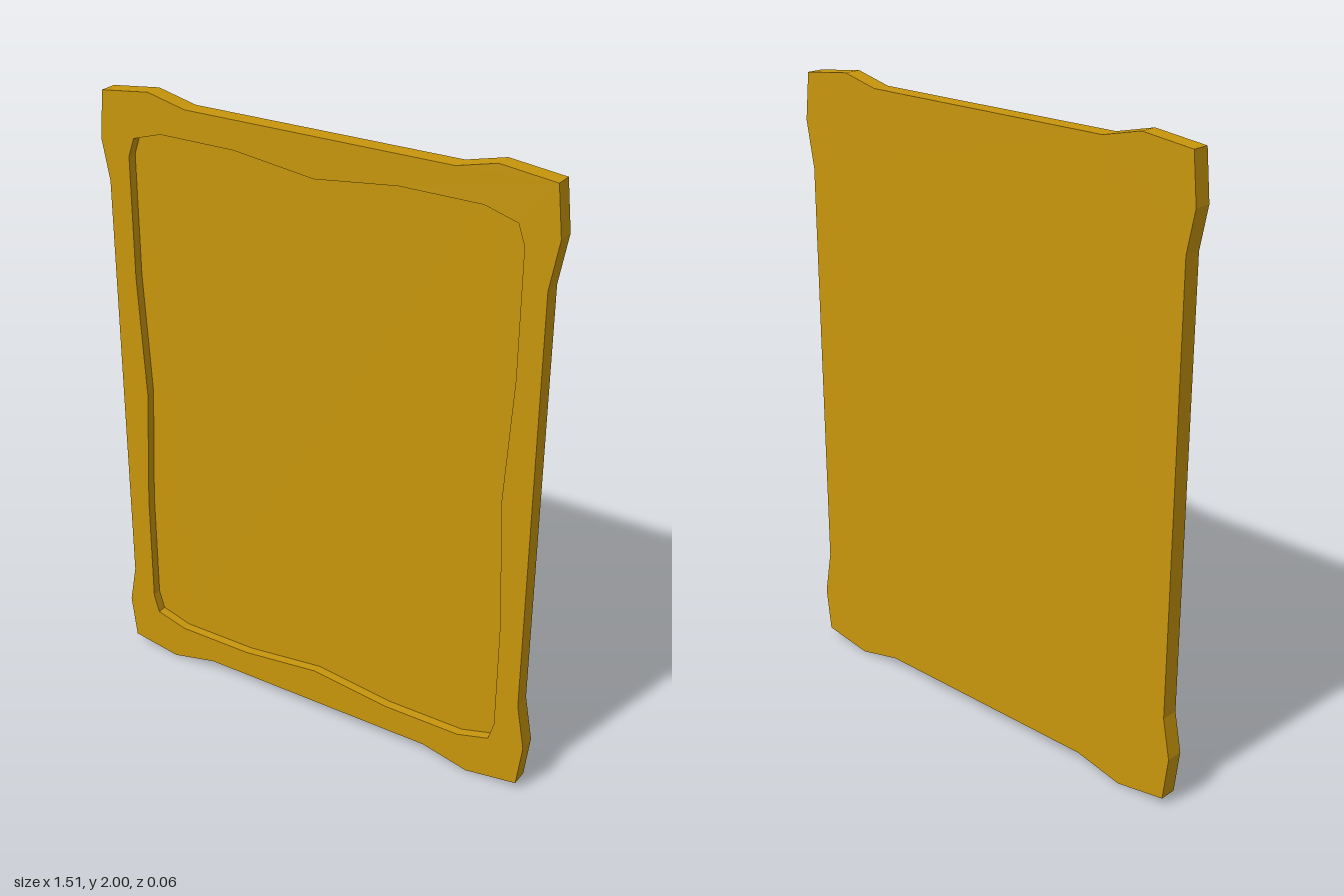
import * as THREE from 'three';

const HALF = 0.028;   // half the slab thickness
const FLOOR = -0.002; // z of the recessed panel

// Corner profiles, counter-clockwise as seen from the front
const outline = [
  [0.41, 0.036], [0.565, 0], [0.738, 0.027], [0.755, 0.17], [0.728, 0.32],
  [0.728, 1.68], [0.755, 1.83], [0.738, 1.98], [0.565, 2], [0.44, 1.97],
  [-0.44, 1.97], [-0.57, 2], [-0.74, 1.98], [-0.755, 1.83], [-0.73, 1.70],
  [-0.73, 0.30], [-0.755, 0.17], [-0.738, 0.027], [-0.57, 0], [-0.41, 0.036],
].map(([x, y]) => new THREE.Vector2(x, y));

// Right half of the recess edge, mirrored for the other half
const half = [
  [0, 0.16], [0.27, 0.128], [0.53, 0.128], [0.635, 0.158], [0.653, 0.22], [0.653, 0.6], [0.632, 1],
  [0.653, 1.4], [0.653, 1.79], [0.632, 1.85], [0.53, 1.88], [0.27, 1.88], [0, 1.847],
];
const recess = [
  ...half,
  ...half.slice(1, -1).reverse().map(([x, y]) => [-x, y]),
].map(([x, y]) => new THREE.Vector2(x, y));

// Flat strip of wall following a closed loop between two depths
function wall(points, z0, z1) {
  const pos = [];
  points.forEach((a, i) => {
    const b = points[(i + 1) % points.length];
    pos.push(a.x, a.y, z0, b.x, b.y, z0, b.x, b.y, z1);
    pos.push(a.x, a.y, z0, b.x, b.y, z1, a.x, a.y, z1);
  });
  const geo = new THREE.BufferGeometry();
  geo.setAttribute('position', new THREE.Float32BufferAttribute(pos, 3));
  geo.computeVertexNormals();
  return geo;
}

export function createModel() {
  const group = new THREE.Group();
  group.name = 'framedPanel';
  const material = new THREE.MeshStandardMaterial({ color: 0xc8960c });
  const add = (name, geo) => {
    const mesh = new THREE.Mesh(geo, material);
    mesh.name = name;
    group.add(mesh);
    return mesh;
  };

  // Raised border around the recess
  const border = new THREE.Shape(outline);
  border.holes.push(new THREE.Path(recess));
  add('frontBorder', new THREE.ShapeGeometry(border).translate(0, 0, HALF));

  // Sunken panel and its rim
  add('recessedPanel', new THREE.ShapeGeometry(new THREE.Shape(recess)).translate(0, 0, FLOOR));
  add('recessRim', wall([...recess].reverse(), FLOOR, HALF));

  // Outer edge
  add('outerEdge', wall(outline, -HALF, HALF));

  // Plain back, turned to face backwards
  const mirrored = outline.map((p) => new THREE.Vector2(-p.x, p.y)).reverse();
  add('backFace', new THREE.ShapeGeometry(new THREE.Shape(mirrored)).rotateY(Math.PI).translate(0, 0, -HALF));

  return group;
}
